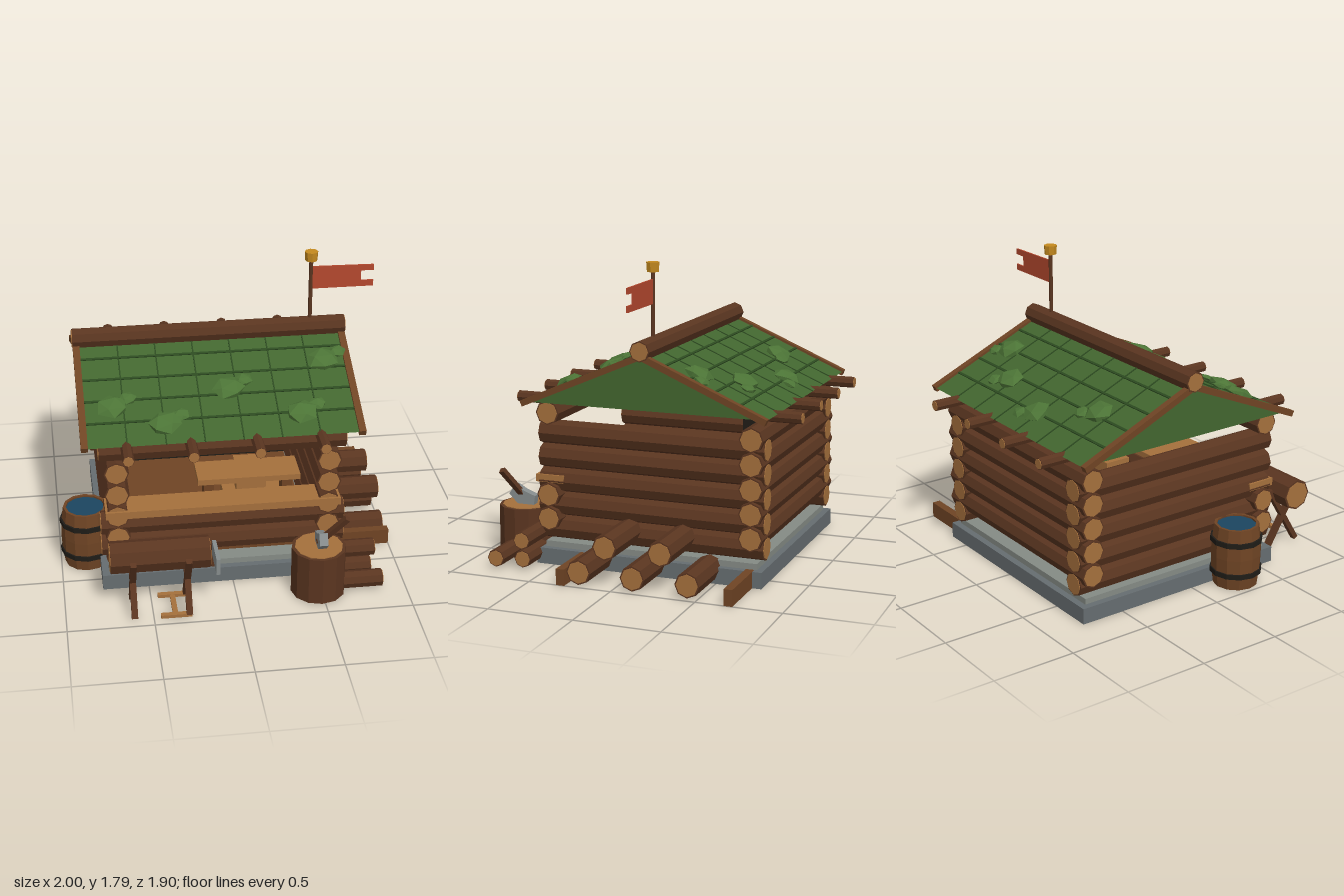
import * as THREE from 'three';

const mat = (color, extra = {}) => new THREE.MeshStandardMaterial({ color, flatShading: true, ...extra });
const M = {
  bark: mat(0x5a3520), cut: mat(0xa5703c), board: mat(0x6f4424), stone: mat(0x666d70), slab: mat(0x858b85),
  dark: mat(0x1f1c17), roof: mat(0x42662f), seam: mat(0x2c4a20), moss: mat(0x4c7436), metal: mat(0x868c8c),
  gold: mat(0xc58a1e), flag: mat(0xb4482e, { side: THREE.DoubleSide }), water: mat(0x1c4560),
};
const CX = -0.055, CZ = -0.08; // hut centre
const UP = new THREE.Vector3(0, 1, 0);

export function createModel() {
  const model = new THREE.Group();

  const add = (name, geo, material, pos = [0, 0, 0], parent = model) => {
    const m = new THREE.Mesh(geo, material);
    m.name = name;
    m.position.set(...pos);
    parent.add(m);
    return m;
  };
  // box from minimum and maximum corners
  const box = (name, material, a, b, parent) => add(name,
    new THREE.BoxGeometry(b[0] - a[0], b[1] - a[1], b[2] - a[2]), material, a.map((v, i) => (v + b[i]) / 2), parent);
  // aligns an object's local y with the line from a to b
  const span = (obj, a, b) => {
    const p = new THREE.Vector3(...a), q = new THREE.Vector3(...b);
    obj.position.copy(p).add(q).multiplyScalar(0.5);
    obj.quaternion.setFromUnitVectors(UP, q.sub(p).normalize());
    return obj;
  };
  const dist = (a, b) => Math.hypot(a[0] - b[0], a[1] - b[1], a[2] - b[2]);
  const bar = (name, material, w, d, a, b) =>
    span(add(name, new THREE.BoxGeometry(w, dist(a, b), d), material), a, b);
  // bark cylinder with pale sawn ends
  const log = (name, r, a, b, sides = 8) => {
    const g = new THREE.Group(), len = dist(a, b);
    g.name = name;
    add('bark', new THREE.CylinderGeometry(r, r, len - 0.008, sides), M.bark, [0, 0, 0], g);
    add('sawnEnds', new THREE.CylinderGeometry(r * 0.88, r * 0.88, len, sides), M.cut, [0, 0, 0], g);
    model.add(span(g, a, b));
    return g;
  };

  // stone foundation and floor
  box('foundation', M.stone, [-0.77, 0, -0.77], [0.66, 0.095, 0.61]);
  box('foundationSlab', M.slab, [-0.73, 0.095, -0.73], [0.62, 0.13, 0.57]);
  box('floor', M.board, [-0.6, 0.13, -0.62], [0.5, 0.16, 0.47]);

  // log walls, interlocking at the corners
  const wallX = [-0.67, 0.56];
  for (let i = 0; i < 5; i++) {
    const y = 0.21 + i * 0.1415;
    for (const x of wallX) log('sideWallLog', 0.072, [x, y, -0.77], [x, y, 0.61]);
    log('backWallLog', 0.072, [-0.77, y + 0.068, -0.7], [0.66, y + 0.068, -0.7]);
  }
  for (const y of [0.275, 0.417, 0.905]) log('frontWallLog', 0.072, [-0.77, y, 0.535], [0.66, y, 0.535]);
  box('darkBackPanel', M.dark, [-0.61, 0.16, -0.65], [0.5, 0.976, -0.6]);

  // counter and the goods behind it
  box('counter', M.cut, [-0.74, 0.485, 0.45], [0.63, 0.53, 0.625]);
  box('tableTop', M.cut, [-0.18, 0.54, 0.18], [0.43, 0.575, 0.4]);
  for (const x of [-0.14, 0.33]) box('tableLeg', M.board, [x, 0.16, 0.24], [x + 0.06, 0.54, 0.34]);
  for (const [x, z] of [[-0.59, 0.2], [-0.42, 0.2], [0.0, 0.0], [0.2, 0.0]])
    box('crate', M.cut, [x, 0.16, z], [x + 0.16, 0.34, z + 0.18]);
  box('crate', M.cut, [0.08, 0.34, 0], [0.26, 0.5, 0.17]);

  // roof body
  const W = 0.73, H = 0.315, EAVE = 0.975, L = 1.54;
  const tri = new THREE.Shape([[-W, 0], [W, 0], [0, H]].map(p => new THREE.Vector2(...p)));
  const roof = add('roofBody', new THREE.ExtrudeGeometry(tri, { depth: L, bevelEnabled: false }), M.roof,
    [CX - L / 2, EAVE, CZ]);
  roof.rotation.y = Math.PI / 2;

  // each slope: seams, edge boards and moss; local z runs down the slope
  const tilt = Math.atan2(H, W), slope = Math.hypot(W, H), cos = Math.cos(tilt);
  const mossSpots = {
    1: [[-0.67, 0.39], [-0.38, 0.52], [0.01, 0.31], [0.41, 0.5], [0.59, 0.15]],
    '-1': [[-0.52, -0.48], [-0.15, -0.65], [0.3, -0.54], [0.57, -0.36]],
  };
  for (const s of [1, -1]) {
    const g = new THREE.Group();
    g.name = s > 0 ? 'frontSlope' : 'backSlope';
    g.position.set(CX, EAVE + H, CZ);
    g.rotation.set(tilt, s > 0 ? 0 : Math.PI, 0, 'YXZ');
    model.add(g);
    for (const d of [0.13, 0.277, 0.424, 0.571])
      add('rowSeam', new THREE.BoxGeometry(L, 0.008, 0.014), M.seam, [0, 0.002, d / cos], g);
    for (let i = 1; i < 7; i++)
      add('columnSeam', new THREE.BoxGeometry(0.008, 0.006, slope), M.seam, [-L / 2 + i * L / 7, 0.001, slope / 2], g);
    for (const x of [-0.79, 0.79])
      add('gableBoard', new THREE.BoxGeometry(0.04, 0.036, slope + 0.012), M.board, [x, -0.004, slope / 2], g);
    mossSpots[s].forEach(([x, z], i) => {
      for (const [dx, dz, r] of [[0, 0, 0.1], [0.095, -0.05, 0.055]]) {
        const m = add('mossClump', new THREE.IcosahedronGeometry(r, 0).rotateY(i * 1.3 + r * 9).scale(1, 0.36, 0.85),
          M.moss, [s * (x + dx - CX), 0.012, Math.abs(z + dz - CZ) / cos], g);
        m.rotation.y = s * 0.25;
      }
    });
  }
  log('ridgeLog', 0.06, [-0.87, 1.315, CZ], [0.76, 1.315, CZ]);
  for (const x of [-0.61, -0.245, 0.13, 0.5]) {
    log('frontRafterEnd', 0.034, [x, 0.957, 0.56], [x, 0.957, 0.79]);
    log('backRafterEnd', 0.034, [x, 0.957, -0.95], [x, 0.957, -0.72]);
  }

  // flag
  add('flagPole', new THREE.CylinderGeometry(0.012, 0.012, 0.4, 8), M.bark, [0.55, 1.545, CZ]);
  add('poleCap', new THREE.CylinderGeometry(0.04, 0.036, 0.055, 8), M.gold, [0.55, 1.763, CZ]);
  const flag = new THREE.Shape([[0, 0], [0.365, 0], [0.365, 0.037], [0.29, 0.037], [0.29, 0.1], [0.365, 0.1],
    [0.365, 0.135], [0, 0.14]].map(p => new THREE.Vector2(...p)));
  add('flag', new THREE.ExtrudeGeometry(flag, { depth: 0.01, bevelEnabled: false }), M.flag, [0.56, 1.555, CZ - 0.005]);

  // timber pile on two bearers by the right-hand wall
  for (const z of [-0.69, 0.307]) box('pileBearer', M.board, [0.6, 0, z - 0.025], [1, 0.095, z + 0.025]);
  for (const z of [0.205, -0.12, -0.445]) log('pileLog', 0.073, [0.6, 0.08, z], [0.98, 0.08, z]);
  for (const z of [0.045, -0.285]) log('pileLog', 0.073, [0.6, 0.24, z], [0.98, 0.24, z]);

  // firewood
  log('firewood', 0.052, [0.56, 0.065, 0.63], [0.82, 0.065, 0.63]);
  log('firewood', 0.052, [0.6, 0.065, 0.782], [0.86, 0.065, 0.782]);
  log('firewood', 0.052, [0.55, 0.18, 0.625], [0.84, 0.18, 0.625]);

  // chopping block with axe
  log('choppingBlock', 0.16, [0.48, 0, 0.765], [0.48, 0.305, 0.765], 12);
  const head = new THREE.Shape([[0.86, 0.36], [0.82, 0.42], [0.76, 0.385], [0.69, 0.36], [0.7, 0.3], [0.8, 0.3]]
    .map(([z, y]) => new THREE.Vector2(-z, y)));
  add('axeHead', new THREE.ExtrudeGeometry(head, { depth: 0.05, bevelEnabled: false }), M.metal, [0.468, 0, 0])
    .rotation.y = Math.PI / 2;
  bar('axeHandle', M.bark, 0.032, 0.032, [0.475, 0.33, 0.77], [0.625, 0.53, 0.85]);

  // sawhorse with log
  log('sawLog', 0.095, [-0.74, 0.365, 0.83], [-0.165, 0.365, 0.83]);
  for (const x of [-0.61, -0.295]) for (const s of [1, -1])
    bar('sawhorseLeg', M.bark, 0.036, 0.03, [x, 0.01, 0.83 - s * 0.11], [x, 0.375, 0.83 + s * 0.11]);
  for (const z of [0.725, 0.93]) box('offcut', M.cut, [-0.46, 0, z - 0.015], [-0.28, 0.02, z + 0.015]);
  box('offcut', M.cut, [-0.39, 0, 0.74], [-0.36, 0.018, 0.915]);

  // saw
  box('sawBlade', M.metal, [-0.14, 0.27, 0.73], [-0.117, 0.37, 0.94]);
  box('sawHandle', M.bark, [-0.145, 0.19, 0.69], [-0.112, 0.34, 0.735]);

  // water barrel
  const barrel = new THREE.Group();
  barrel.name = 'barrel';
  barrel.position.set(-0.845, 0, 0.265);
  model.add(barrel);
  const staves = [[0, 0], [0.132, 0], [0.145, 0.1], [0.148, 0.19], [0.145, 0.28], [0.132, 0.375], [0.115, 0.375],
    [0.115, 0.35]].map(p => new THREE.Vector2(...p));
  add('staves', new THREE.LatheGeometry(staves, 12), M.board, [0, 0, 0], barrel);
  add('water', new THREE.CylinderGeometry(0.118, 0.118, 0.01, 12), M.water, [0, 0.36, 0], barrel);
  for (const y of [0.09, 0.285])
    add('hoop', new THREE.CylinderGeometry(0.154, 0.154, 0.03, 12), M.dark, [0, y, 0], barrel);

  return model;
}
